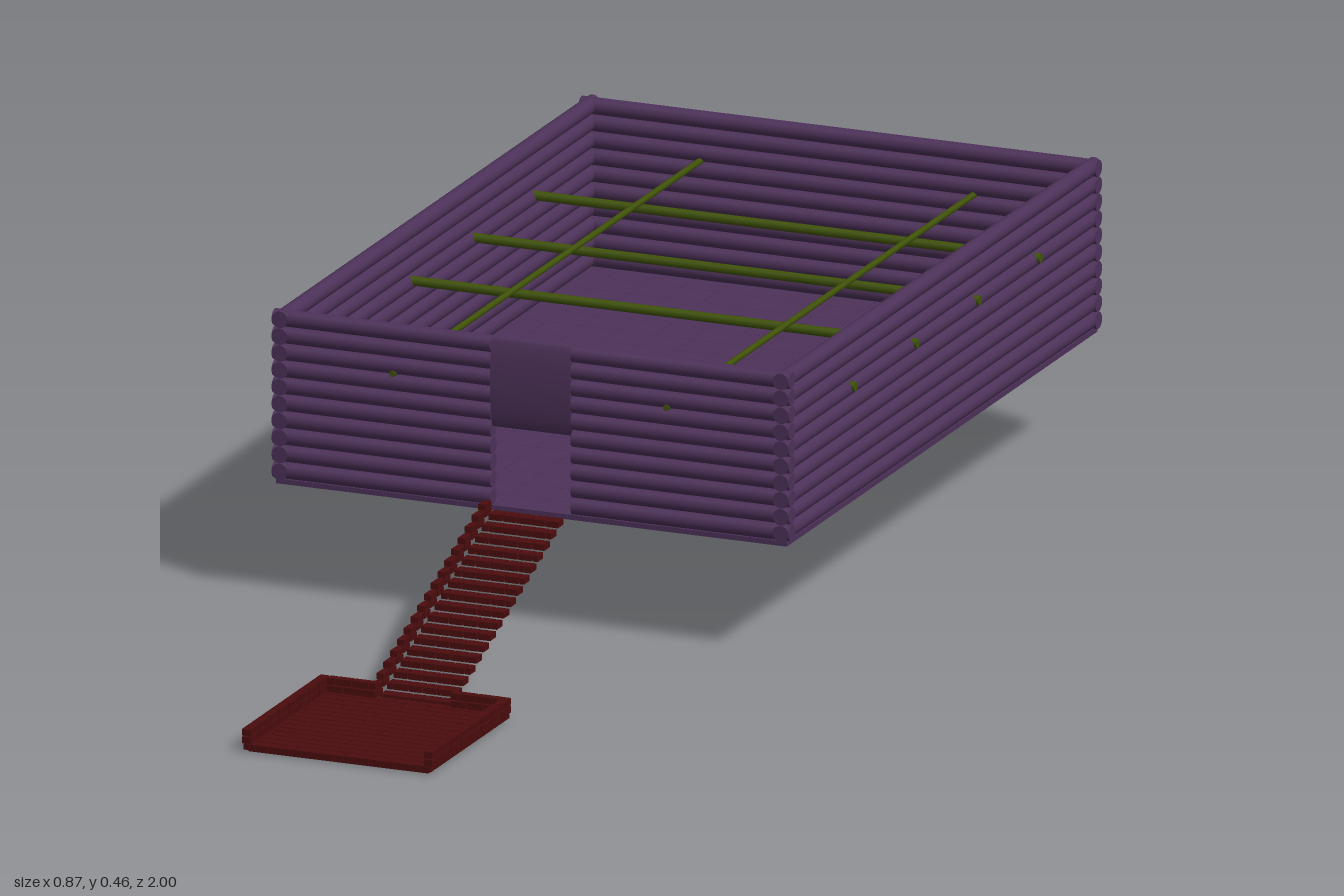
import * as THREE from 'three';
import { mergeGeometries } from 'three/addons/utils/BufferGeometryUtils.js';

const wallMat = new THREE.MeshStandardMaterial({ color: 0x4c3158 });
const brickMat = new THREE.MeshStandardMaterial({ color: 0x4a0c0e });
const beamMat = new THREE.MeshStandardMaterial({ color: 0x3f5208 });

const X = 0.432, Z0 = -1, Z1 = 0.236, FLOOR = 0.19, PITCH = 0.0272, R = 0.0133;

const box = (w, h, d, x, y, z) => new THREE.BoxGeometry(w, h, d).translate(x, y, z);

// log lying along x or z between two ends, with an optional taller section
function log(axis, from, to, other, y, ry = R, r = R, sides = 16) {
  const g = new THREE.CylinderGeometry(1, 1, to - from, sides);
  const mid = (from + to) / 2;
  if (axis === 'x') return g.rotateZ(Math.PI / 2).scale(1, ry, r).translate(mid, y, other);
  return g.rotateX(Math.PI / 2).scale(r, ry, 1).translate(other, y, mid);
}

function add(group, name, geometries, material) {
  const mesh = new THREE.Mesh(mergeGeometries(geometries), material);
  mesh.name = name;
  group.add(mesh);
}

// staggered row of bricks along x
function brickRow(x0, x1, y, z, h, d, length, odd) {
  const out = [], gap = 0.002;
  let a = x0;
  let b = x0 + (odd ? length / 2 : length);
  while (a < x1 - 0.004) {
    const end = Math.min(b, x1);
    out.push(box(end - a - gap, h, d, (a + end) / 2, y, z));
    a = end;
    b = end + length;
  }
  return out;
}

function buildHouse(house) {
  // tiled floor
  const tiles = [], nx = 14, nz = 20;
  const tw = (2 * X - 0.01) / nx, td = (Z1 - Z0 - 0.01) / nz;
  for (let i = 0; i < nx; i++) {
    for (let j = 0; j < nz; j++) {
      tiles.push(box(tw - 0.0006, 0.008, td - 0.0006,
        (i + 0.5 - nx / 2) * tw, 0.187, Z0 + 0.005 + (j + 0.5) * td));
    }
  }
  add(house, 'floor', tiles, wallMat);

  // log walls, front wall split by the doorway
  const walls = { leftWall: [], rightWall: [], backWall: [], frontWall: [] };
  const door = 0.067;
  for (let i = 0; i < 10; i++) {
    const y = FLOOR + PITCH * (i + 0.5);
    walls.leftWall.push(log('z', Z0, Z1, X - R, y));
    walls.rightWall.push(log('z', Z0, Z1, -X + R, y));
    walls.backWall.push(log('x', -X, X, Z0 + R, y));
    walls.frontWall.push(log('x', -X, -door, Z1 - R, y), log('x', door, X, Z1 - R, y));
  }
  for (const name in walls) add(house, name, walls[name], wallMat);

  // tall flattened piece over the doorway
  add(house, 'doorLintel', [log('x', -door, door, Z1 - R, 0.389, 0.073, R, 32)], wallMat);

  // ceiling beams
  add(house, 'crossBeams', [-0.75, -0.51, -0.265, -0.02].map(
    z => log('x', -0.436, 0.436, z, 0.371, 0.0075, 0.0075, 10)), beamMat);
  add(house, 'longBeams', [-0.23, 0.227].map(
    x => log('z', Z0, Z1 + 0.001, x, 0.384, 0.005, 0.005, 10)), beamMat);
}

function buildStairs(stairs) {
  const n = 17, steps = [], curb = [];
  for (let i = 0; i < n; i++) {
    const z = 0.677 - i * 0.0267, y = 0.012 + i * 0.0106;
    steps.push(...brickRow(-0.06, 0.058, y, z, 0.0098, 0.022, 0.024, i % 2));
    // low brick curb along one side
    for (let k = 0; k < 2; k++) {
      curb.push(box(0.012, 0.0095, 0.024, -0.07, y + 0.003 + k * 0.011, z));
    }
  }
  add(stairs, 'steps', steps, brickMat);
  add(stairs, 'sideCurb', curb, brickMat);
}

function buildLanding(landing) {
  const x = 0.157, z0 = 0.685, z1 = 0.998, rows = 15, d = (z1 - z0) / rows;
  add(landing, 'landingBase', [box(0.3, 0.004, 0.3, 0, 0.002, 0.842)], brickMat);

  // paving bricks
  const paving = [];
  for (let j = 0; j < rows; j++) {
    paving.push(...brickRow(-x, x, 0.008, z0 + (j + 0.5) * d, 0.009, d - 0.002, 0.042, j % 2));
  }
  add(landing, 'landingPaving', paving, brickMat);

  // two-course kerb on both sides and beside the stair opening
  const kerb = [];
  for (let k = 0; k < 2; k++) {
    const y = 0.0185 + k * 0.0125;
    for (const s of [-1, 1]) {
      for (let j = 0; j < 8; j++) {
        const len = (z1 - z0) / 8;
        kerb.push(box(0.014, 0.0105, len - 0.002, s * 0.152, y, z0 + (j + 0.5) * len));
      }
    }
    kerb.push(...brickRow(-0.144, -0.062, y, z0 + 0.007, 0.0105, 0.014, 0.028, k));
    kerb.push(...brickRow(0.062, 0.144, y, z0 + 0.007, 0.0105, 0.014, 0.028, k));
  }
  add(landing, 'landingKerb', kerb, brickMat);
}

export function createModel() {
  const model = new THREE.Group();
  model.name = 'raisedLogCabin';
  const parts = { house: buildHouse, stairs: buildStairs, landing: buildLanding };
  for (const name in parts) {
    const group = new THREE.Group();
    group.name = name;
    parts[name](group);
    model.add(group);
  }
  return model;
}
